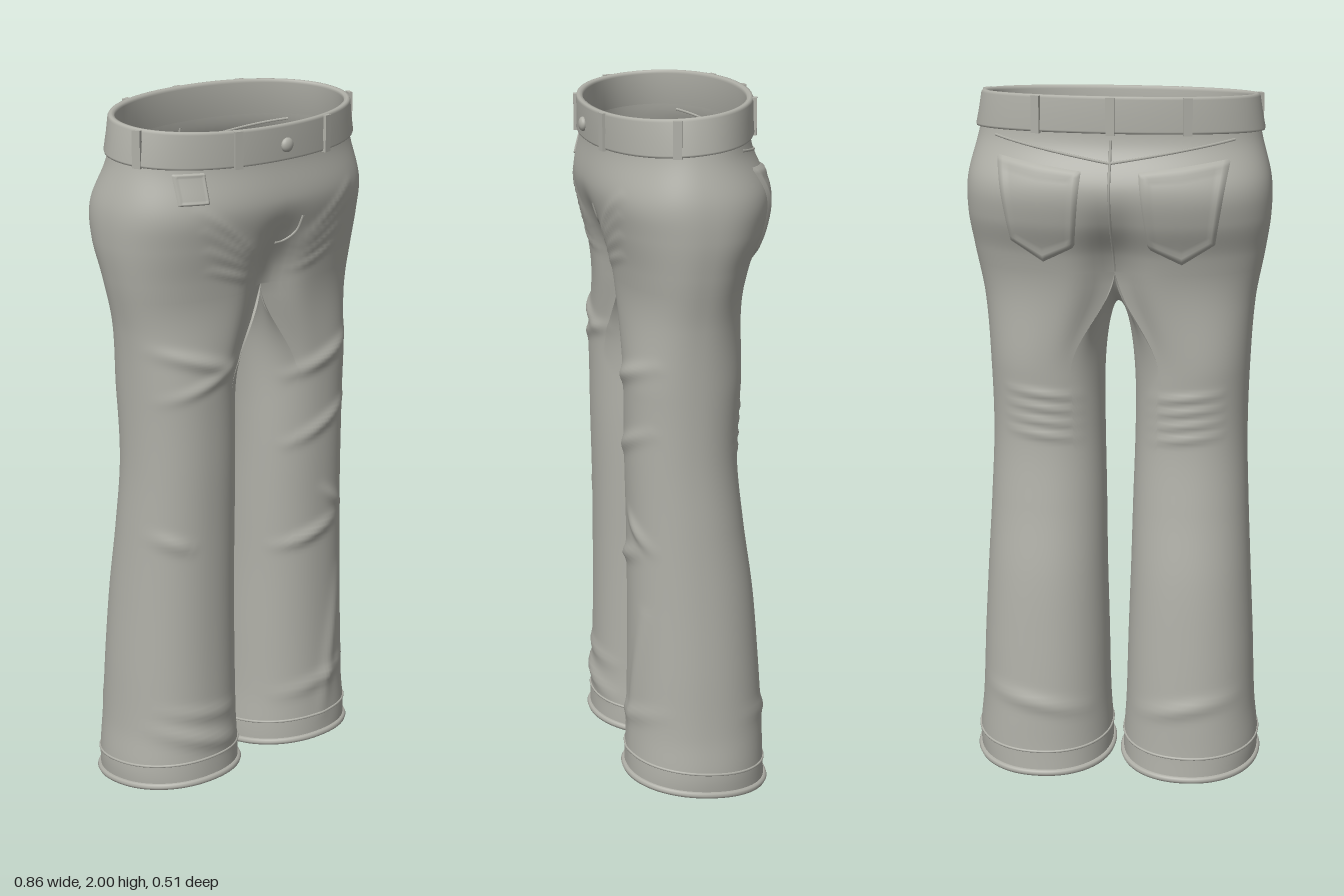
import * as THREE from 'three';
import { mergeVertices, mergeGeometries } from 'three/addons/utils/BufferGeometryUtils.js';

// Silhouette by height: y, inner x, outer x, front z, back z
const PROFILE = [
  [0.0, 0.018, 0.408, 0.183, -0.222], [0.08, 0.018, 0.414, 0.183, -0.217],
  [0.2, 0.025, 0.403, 0.178, -0.213], [0.4, 0.03, 0.395, 0.174, -0.2],
  [0.6, 0.036, 0.385, 0.173, -0.183], [0.8, 0.04, 0.375, 0.174, -0.155],
  [1.0, 0.045, 0.368, 0.178, -0.135], [1.2, 0.047, 0.372, 0.18, -0.143],
  [1.4, 0.047, 0.385, 0.187, -0.16], [1.55, 0.047, 0.412, 0.203, -0.19],
  [1.65, 0.047, 0.426, 0.226, -0.232], [1.75, 0.047, 0.425, 0.245, -0.247],
  [1.87, 0.047, 0.396, 0.23, -0.206], [2.0, 0.047, 0.374, 0.234, -0.202],
];
// Cloth folds: side (1 front, -1 back), x0, y0, x1, y1, height, width
const FOLDS = [
  [1, -0.36, 1.36, -0.14, 1.29, 0.012, 0.02], [1, -0.34, 1.22, -0.1, 1.3, 0.008, 0.018],
  [1, 0.1, 1.21, 0.33, 1.29, 0.012, 0.02], [1, 0.1, 1.0, 0.32, 1.1, 0.01, 0.018],
  [1, 0.08, 0.68, 0.27, 0.74, 0.012, 0.018], [1, 0.22, 0.84, 0.32, 0.76, 0.009, 0.018],
  [1, 0.22, 0.12, 0.3, 0.55, 0.009, 0.025], [1, -0.38, 0.82, -0.28, 0.78, 0.01, 0.02],
  [1, -0.38, 0.22, -0.1, 0.14, 0.012, 0.022], [1, -0.36, 0.28, -0.1, 0.24, 0.007, 0.018],
  [1, 0.08, 0.2, 0.36, 0.27, 0.008, 0.02], [-1, -0.35, 0.25, -0.08, 0.2, 0.009, 0.022],
  [-1, 0.08, 0.2, 0.36, 0.25, 0.009, 0.022],
];
for (const s of [-1, 1]) {
  for (let i = 0; i < 4; i++) {
    FOLDS.push([1, s * 0.08, 1.61 - i * 0.025, s * (0.27 - i * 0.015), 1.76 - i * 0.058, 0.006, 0.011]); // hip whiskers
    FOLDS.push([-1, s * 0.1, 1.13 - i * 0.04, s * 0.3, 1.15 - i * 0.04, 0.007, 0.012]); // behind the knee
  }
}
const lerp = THREE.MathUtils.lerp, smooth = THREE.MathUtils.smoothstep;
const power = (c, n) => Math.sign(c) * Math.abs(c) ** (2 / n);

// Smooth interpolation of the silhouette table
function profile(y) {
  const P = PROFILE, last = P.length - 1;
  let i = 0;
  while (i < last - 1 && y > P[i + 1][0]) i++;
  const h = P[i + 1][0] - P[i][0], t = THREE.MathUtils.clamp((y - P[i][0]) / h, 0, 1);
  const slope = (j, k) => {
    const a = Math.max(j - 1, 0), b = Math.min(j + 1, last);
    return (P[b][k] - P[a][k]) / (P[b][0] - P[a][0]);
  };
  return [1, 2, 3, 4].map((k) => (2 * t ** 3 - 3 * t * t + 1) * P[i][k] + (t ** 3 - 2 * t * t + t) * h * slope(i, k)
    + (3 * t * t - 2 * t ** 3) * P[i + 1][k] + (t ** 3 - t * t) * h * slope(i + 1, k));
}

const roundness = (y) => lerp(2.4, 2.1, smooth(y, 1.7, 1.9));
const recess = (x, y) => Math.exp(-((x / 0.07) ** 2)) * (1 - smooth(y, 1.46, 1.76)) * 0.06;

// Hip outline point; angle 0 is the front, PI/2 is +x, PI is the back
function hip(angle, y, offset = 0) {
  const [, xo, zf, zb] = profile(y), n = roundness(y);
  const x = (xo + offset) * power(Math.sin(angle), n), c = power(Math.cos(angle), n);
  return [x, y, (zf + zb) / 2 + ((zf - zb) / 2 + offset) * c - Math.sign(c) * recess(x, y) * Math.min(1, Math.abs(c) * 2)];
}

// Leg outline point; angle 0 is the inseam, PI/2 is the front
function leg(angle, y) {
  const [xi, xo, zf, zb] = profile(y);
  return [(xi + xo) / 2 - (xo - xi) / 2 * power(Math.cos(angle), 2.15), y,
    (zf + zb) / 2 + (zf - zb) / 2 * power(Math.sin(angle), 2.15)];
}

function addFolds([x, y, z]) {
  let d = 0;
  for (const [side, x0, y0, x1, y1, h, w] of FOLDS) {
    if (side * z <= 0) continue;
    const dx = x1 - x0, dy = y1 - y0;
    const t = THREE.MathUtils.clamp(((x - x0) * dx + (y - y0) * dy) / (dx * dx + dy * dy), 0, 1);
    const r2 = (x - x0 - t * dx) ** 2 + (y - y0 - t * dy) ** 2;
    d += side * h * (0.3 + 0.7 * Math.sin(Math.PI * t)) * Math.exp(-r2 / (w * w)) * smooth(side * z, 0.02, 0.12);
  }
  return [x, y, z + d];
}

// Surface grid from a point rule over u, v in 0..1
function grid(nu, nv, rule, flip = false) {
  const pos = [], index = [];
  for (let j = 0; j <= nv; j++) for (let i = 0; i <= nu; i++) pos.push(...rule(i / nu, j / nv));
  for (let j = 0; j < nv; j++) for (let i = 0; i < nu; i++) {
    const a = j * (nu + 1) + i, b = a + 1, c = a + nu + 1, d = c + 1;
    index.push(...(flip ? [a, c, b, b, c, d] : [a, b, c, b, d, c]));
  }
  const g = new THREE.BufferGeometry();
  g.setAttribute('position', new THREE.Float32BufferAttribute(pos, 3));
  g.setIndex(index);
  return g;
}
function weld(parts) {
  const g = mergeVertices(mergeGeometries(parts), 1e-4);
  g.computeVertexNormals();
  return g;
}

const SPLIT = 1.5, CORNER = Math.PI / 3;
const hemY = (z) => 0.034 + 0.11 * z;

// Outer thigh, opening into the hip outline at the top
function outerLeg(u, r) {
  const v = 1 - (1 - r) ** 1.4, a = lerp(CORNER, 2 * Math.PI - CORNER, u);
  const y = lerp(hemY(leg(a, 0.03)[2]), SPLIT, v);
  const w = smooth(y, SPLIT - 0.3, SPLIT), p = leg(a, y), q = hip(Math.PI * u, y);
  return [lerp(p[0], q[0], w), y, lerp(p[2], q[2], w)];
}
// Inner thigh, arching up to the crotch saddle at x = 0
function innerLeg(u, r) {
  const v = 1 - (1 - r) ** 1.4, t = 2 * u - 1, a = t * CORNER;
  const top = SPLIT - 0.11 * (1 - Math.abs(t) ** 2.5);
  const y = lerp(hemY(leg(a, 0.03)[2]), top, v), p = leg(a, y);
  const d = THREE.MathUtils.clamp((top - y) / 0.3, 0, 1);
  const w = 1 - smooth(d, 0, 1), arch = 1 - Math.sqrt(1 - (1 - d) ** 2);
  const zf = hip(0, SPLIT)[2], zb = hip(Math.PI, SPLIT)[2];
  return [p[0] * (1 - lerp(arch, w, Math.abs(t) ** 3)), y, lerp(p[2], lerp(zb, zf, u), w)];
}
function hips(u, v) {
  const a = Math.PI * u;
  return hip(a, lerp(SPLIT, 1.905 - 0.08 * hip(a, 1.9)[2], v));
}

export function createModel() {
  const cloth = new THREE.MeshStandardMaterial({ color: 0xb0b0a8, side: THREE.DoubleSide });
  cloth.name = 'grey cloth';
  const model = new THREE.Group();
  model.name = 'trousers';
  const add = (name, geometry) => {
    const m = new THREE.Mesh(geometry, cloth);
    m.name = name;
    model.add(m);
    return m;
  };

  // Legs and hips as one welded shell
  const shell = [];
  for (const s of [1, -1]) {
    const side = (rule) => (u, v) => { const p = rule(u, v); return addFolds([s * p[0], p[1], p[2]]); };
    shell.push(grid(72, 130, side(outerLeg), s < 0), grid(36, 130, side(innerLeg), s < 0), grid(72, 50, side(hips), s < 0));
  }
  add('legsAndHips', weld(shell));

  // Rolled hem edge and the stitched ridge above it
  for (const s of [1, -1]) {
    for (const [name, lift, radius] of [['hemEdge', 0, 0.01], ['hemStitching', 0.065, 0.004]]) {
      const pts = [];
      for (let i = 0; i < 48; i++) {
        const a = i / 48 * Math.PI * 2, y = hemY(leg(a, 0.03)[2]) + lift, p = leg(a, y);
        pts.push(new THREE.Vector3(...addFolds([s * p[0], y, p[2]])));
      }
      add(name, new THREE.TubeGeometry(new THREE.CatmullRomCurve3(pts, true), 120, radius, 8, true));
    }
  }

  // Waistband: a thick section swept around the tilted waist
  const section = [[-0.012, 0.0], [0, -0.002], [0.009, 0], [0.012, 0.006], [0.011, 0.05], [0.011, 0.092], [0.008, 0.099],
    [0.002, 0.1], [-0.006, 0.098], [-0.009, 0.09], [-0.012, 0.0]];
  const bandPoint = (a, offset, h) => {
    const y = 1.883 + h - 0.08 * hip(a, 1.9)[2];
    return hip(a, y, offset);
  };
  add('waistband', weld([grid(128, section.length - 1, (u, v) => {
    const [o, h] = section[Math.round(v * (section.length - 1))];
    return bandPoint(u * 2 * Math.PI, o, h);
  })]));

  // Belt loops
  for (const a of [0.39, -0.39, 1.3, -1.3, Math.PI - 0.53, Math.PI + 0.53, Math.PI]) {
    const loop = add('beltLoop', new THREE.BoxGeometry(0.024, 0.102, 0.012));
    const p = bandPoint(a, 0.014, 0.047), q = bandPoint(a + 0.01, 0.014, 0.047), b = bandPoint(a - 0.01, 0.014, 0.047);
    loop.position.set(...p);
    loop.rotation.y = Math.atan2(-(q[2] - b[2]), q[0] - b[0]);
  }

  // Waist button
  const button = add('button', new THREE.SphereGeometry(0.02, 20, 14));
  button.scale.z = 0.6;
  button.position.set(0, 1.907, bandPoint(0, 0.014, 0.04)[2]);

  // Pockets and seams laid on the hip surface
  const onHip = (x, y, side, lift) => {
    const [, xo, zf, zb] = profile(y), n = roundness(y);
    const c = (1 - Math.min(1, Math.abs(x / xo)) ** n) ** (1 / n);
    const p = addFolds([x, y, (zf + zb) / 2 + side * ((zf - zb) / 2 * c - recess(x, y))]);
    return [x, y, p[2] + side * lift];
  };
  // corners: top inner, top outer, bottom outer, bottom inner; tip drops the middle of the lower edge
  const patch = (name, [tl, tr, br, bl], tip, side, mirror, lift) => {
    const N = 24;
    add(name, weld([grid(N, N, (u, v) => {
      const edge = Math.min(u, v, 1 - u, 1 - v) * N;
      const x = lerp(lerp(bl[0], br[0], u), lerp(tl[0], tr[0], u), v);
      const y = lerp(lerp(bl[1], br[1], u) - tip * (1 - Math.abs(2 * u - 1)), lerp(tl[1], tr[1], u), v);
      return onHip(mirror * x, y, side, edge < 0.5 ? -0.003 : edge < 2.5 ? lift : lift * 0.7);
    }, side * mirror < 0)]));
  };
  for (const s of [1, -1]) {
    patch('backPocket', [[0.075, 1.8], [0.325, 1.83], [0.285, 1.59], [0.1, 1.58]], 0.055, -1, s, 0.009);
  }
  patch('coinPocket', [[0.245, 1.86], [0.325, 1.86], [0.325, 1.775], [0.245, 1.775]], 0, 1, -1, 0.006);

  const seam = (name, side, points) => {
    const curve = new THREE.CatmullRomCurve3(points.map(([x, y]) => new THREE.Vector3(x, y, 0)));
    const pts = curve.getPoints(20).map((p) => new THREE.Vector3(...onHip(p.x, p.y, side, 0)));
    add(name, new THREE.TubeGeometry(new THREE.CatmullRomCurve3(pts), 40, 0.004, 6));
  };
  seam('flySeam', 1, [[0.07, 1.7], [0.06, 1.655], [0.03, 1.63], [0, 1.625]]);
  seam('backSeam', -1, [[0, 1.88], [0, 1.75], [0, 1.6], [0, 1.5]]);
  for (const s of [1, -1]) seam('yokeSeam', -1, [[0, 1.82], [s * 0.15, 1.845], [s * 0.33, 1.875]]);

  return model;
}
